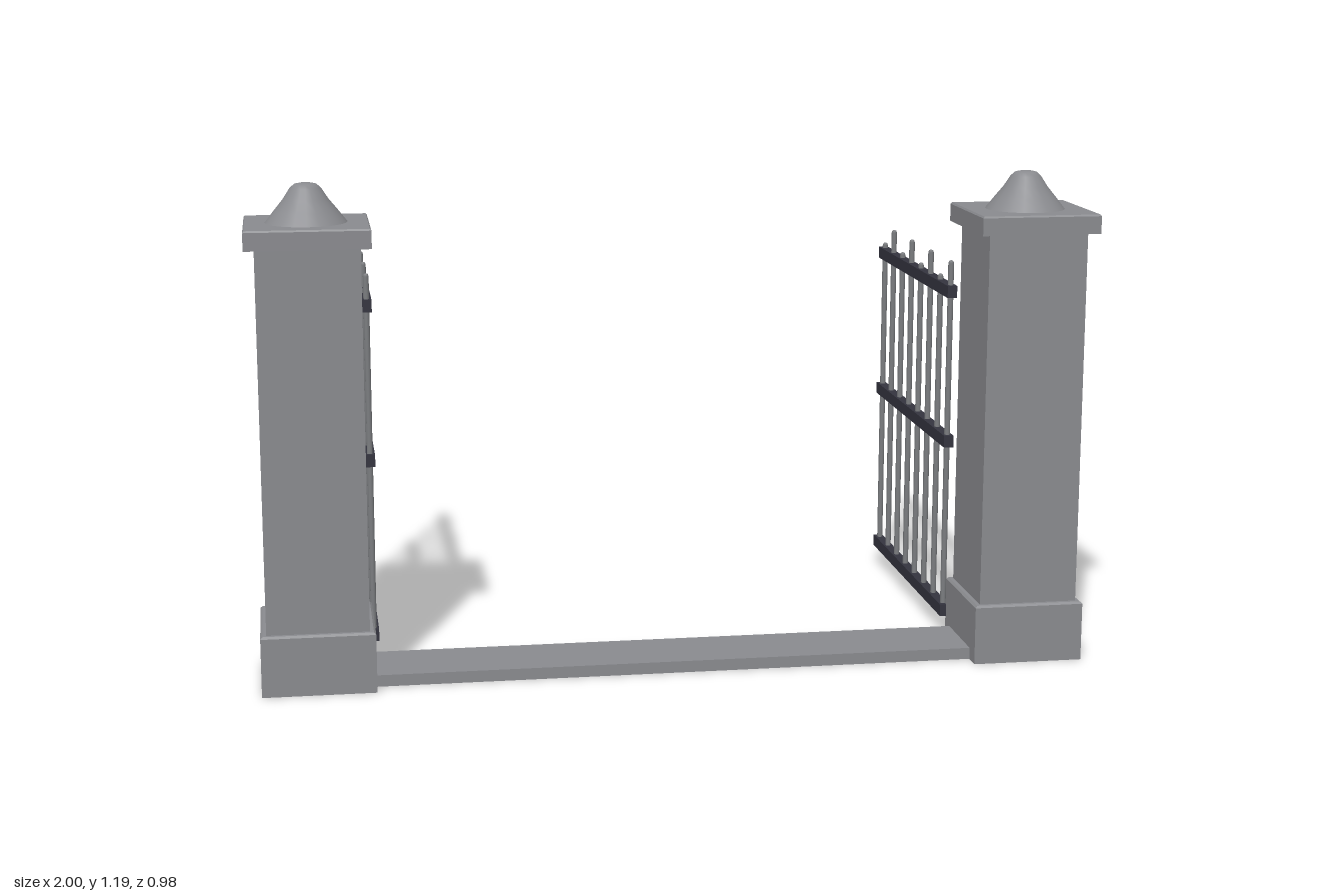
import * as THREE from 'three';

const stone = new THREE.MeshStandardMaterial({ color: 0x8a8b8f, side: THREE.DoubleSide });
stone.name = 'grey stone';
const iron = new THREE.MeshStandardMaterial({ color: 0x7b7d80 });
iron.name = 'grey iron bars';
const darkIron = new THREE.MeshStandardMaterial({ color: 0x34343f });
darkIron.name = 'dark iron rails';

const PILLAR_X = 0.856, PILLAR_Z = 0.345, GATE_X = 0.718;

function add(parent, name, geometry, material, x = 0, y = 0, z = 0) {
  const mesh = new THREE.Mesh(geometry, material);
  mesh.name = name;
  mesh.position.set(x, y, z);
  parent.add(mesh);
  return mesh;
}

// Square section swept up a profile of [half width, height], with sharp edges
function squareStack(profile) {
  const points = profile.map(([w, y]) => new THREE.Vector2(w * Math.SQRT2, y));
  const geometry = new THREE.LatheGeometry(points, 4, Math.PI / 4).toNonIndexed();
  geometry.computeVertexNormals();
  return geometry;
}

function createPillar(name) {
  const pillar = new THREE.Group();
  pillar.name = name;
  // Hollow plinth, open underneath
  add(pillar, 'plinth', squareStack([[0.134, 0], [0.134, 0.141], [0.129, 0.146], [0, 0.146]]), stone);
  add(pillar, 'shaft', squareStack([[0.12, 0.146], [0.12, 1.05]]), stone);
  add(pillar, 'cap', squareStack([
    [0, 1.05], [0.144, 1.05], [0.144, 1.092], [0.141, 1.096], [0, 1.096],
  ]), stone);
  // Round finial with a softened tip
  const profile = [[0.096, 1.095], [0.074, 1.123], [0.052, 1.15], [0.036, 1.175], [0.026, 1.184], [0.012, 1.187], [0, 1.187]];
  add(pillar, 'finial', new THREE.LatheGeometry(profile.map(([r, y]) => new THREE.Vector2(r, y)), 20), stone);
  return pillar;
}

function createGate(name) {
  const gate = new THREE.Group();
  gate.name = name;
  for (const y of [0.06, 0.497, 0.875]) {
    add(gate, 'rail', new THREE.BoxGeometry(0.024, 0.03, 0.704), darkIron, 0, y, -0.135);
  }
  // Upright bars, alternately tall and short, with rounded tips
  const radius = 0.0072;
  for (let i = 0; i < 8; i++) {
    const top = i % 2 ? 0.905 : 0.952;
    const points = [[radius, 0.06], [radius, top - 0.008], [radius * 0.7, top - 0.002], [0, top]];
    const geometry = new THREE.LatheGeometry(points.map(([r, y]) => new THREE.Vector2(r, y)), 10);
    add(gate, 'bar', geometry, iron, 0, 0, 0.199 - i * 0.0949);
  }
  return gate;
}

// Shallow threshold slab, open underneath
function createThreshold() {
  const geometry = squareStack([[0.5, 0], [0.5, 0.028], [0, 0.028]]);
  geometry.scale(1.444, 1, 0.186);
  geometry.computeVertexNormals();
  return geometry;
}

export function createModel() {
  const model = new THREE.Group();
  model.name = 'gateway';
  for (const side of [-1, 1]) {
    const label = side > 0 ? 'left' : 'right';
    const pillar = createPillar(label + 'Pillar');
    pillar.position.set(side * PILLAR_X, 0, PILLAR_Z);
    const gate = createGate(label + 'Gate');
    gate.position.x = side * GATE_X;
    model.add(pillar, gate);
  }
  add(model, 'threshold', createThreshold(), stone, 0, 0, 0.342);
  return model;
}
